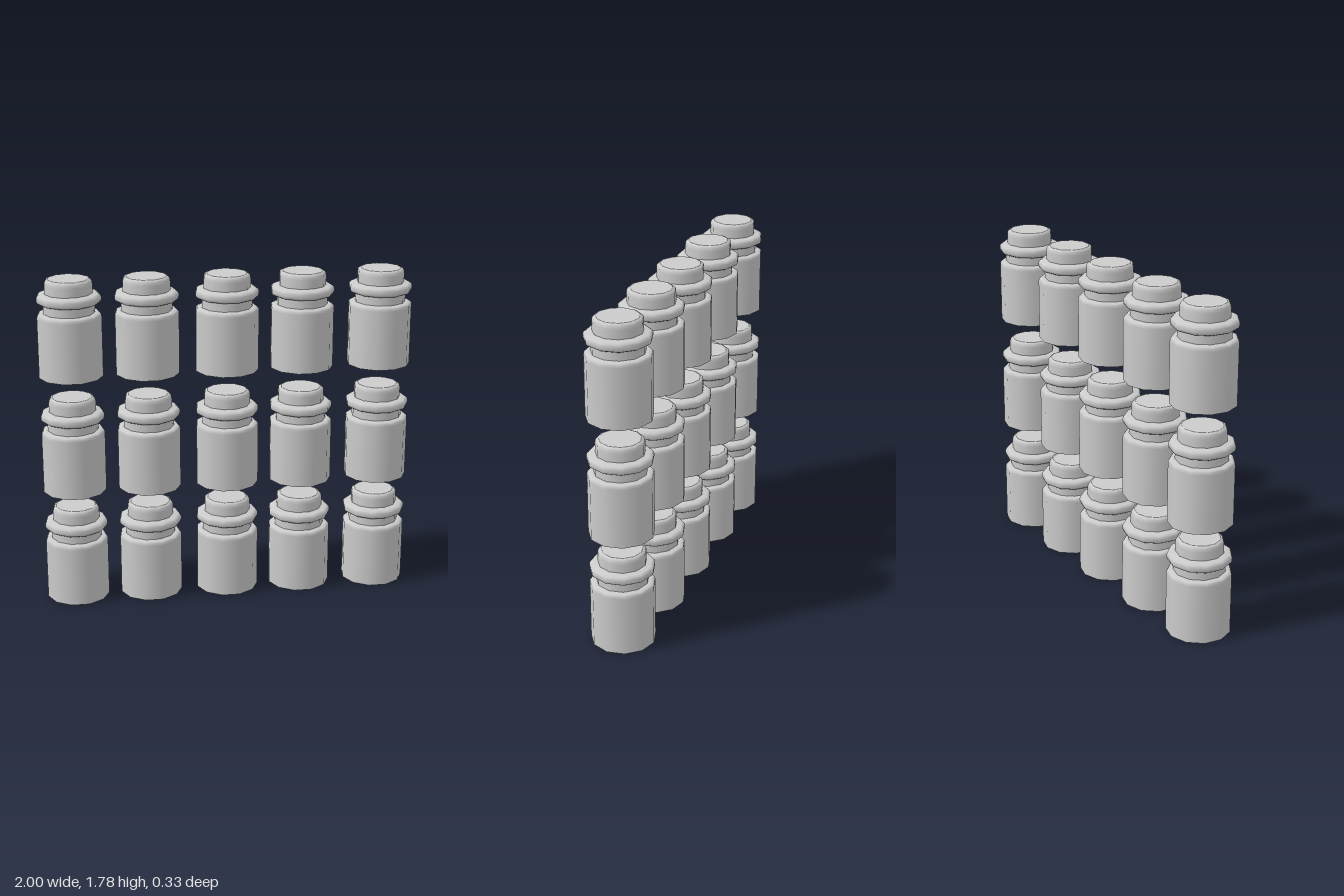
import * as THREE from 'three';

const SIDES = 11;
const material = new THREE.MeshStandardMaterial({ color: 0xcccccc });

// Turned part with a vertex pointing to the back
function turned(profile) {
  const points = profile.map(([r, y]) => new THREE.Vector2(r, y));
  return new THREE.LatheGeometry(points, SIDES, Math.PI);
}

function disc(radius, y, up) {
  const start = up ? Math.PI / 2 : -Math.PI / 2;
  return new THREE.CircleGeometry(radius, SIDES, start)
    .rotateX(up ? -Math.PI / 2 : Math.PI / 2)
    .translate(0, y, 0);
}

export function createModel() {
  const parts = {
    // Straight wall with a softened shoulder
    body: turned([[0.17, 0], [0.17, 0.32], [0.169, 0.333], [0.163, 0.341], [0.15, 0.344], [0.134, 0.345]]),
    base: disc(0.17, 0, false),
    neck: turned([[0.136, 0.343], [0.136, 0.395]]),
    // Rounded collar sloping up to the lid
    rim: turned([[0.134, 0.392], [0.155, 0.395], [0.166, 0.402], [0.17, 0.413],
      [0.17, 0.428], [0.166, 0.438], [0.155, 0.445], [0.123, 0.449]]),
    // Lid with a rounded top edge
    lid: turned([[0.126, 0.445], [0.126, 0.495], [0.124, 0.511], [0.118, 0.52], [0.108, 0.524]]),
    lidTop: disc(0.108, 0.524, true),
  };

  const model = new THREE.Group();
  model.name = 'jarDisplay';

  // Three rows of five jars
  [0, 0.615, 1.255].forEach((y, row) => {
    [-0.83, -0.425, 0, 0.405, 0.83].forEach((x, column) => {
      const jar = new THREE.Group();
      jar.name = `jarRow${row + 1}Column${column + 1}`;
      for (const [name, geometry] of Object.entries(parts)) {
        const mesh = new THREE.Mesh(geometry, material);
        mesh.name = name;
        jar.add(mesh);
      }
      jar.position.set(x, y, 0);
      model.add(jar);
    });
  });
  return model;
}
